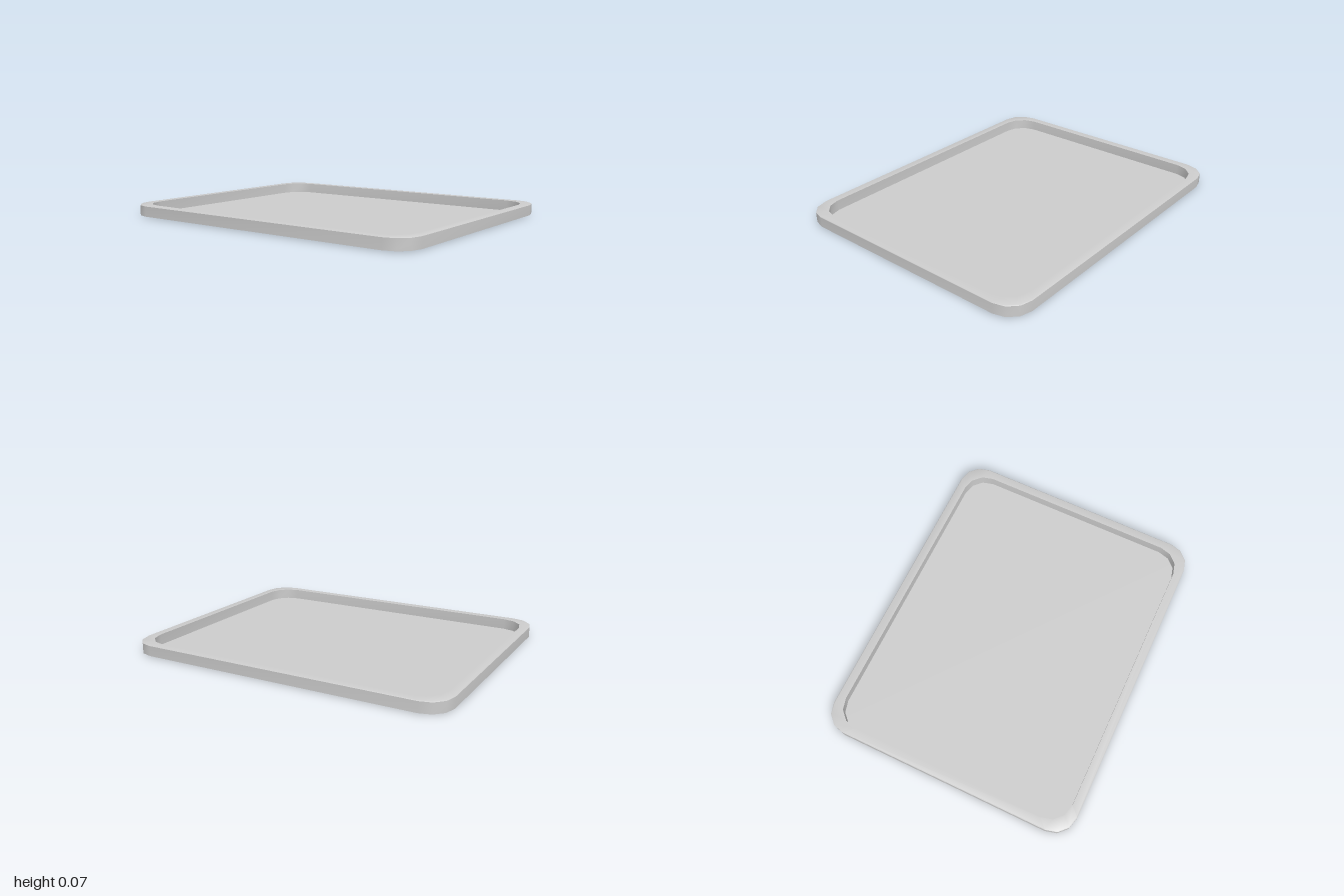
import * as THREE from 'three';
import { toCreasedNormals } from 'three/addons/utils/BufferGeometryUtils.js';

const SEGMENTS = 3; // facets per rounded corner

// Rounded rectangle loop at height y, counter-clockwise from above
function roundedLoop(halfX, halfZ, radius, y) {
  const points = [];
  const corners = [[1, -1], [-1, -1], [-1, 1], [1, 1]];
  corners.forEach(([sx, sz], c) => {
    for (let i = 0; i <= SEGMENTS; i++) {
      const a = (c + i / SEGMENTS) * Math.PI / 2;
      points.push([
        sx * (halfX - radius) + radius * Math.cos(a),
        y,
        sz * (halfZ - radius) - radius * Math.sin(a),
      ]);
    }
  });
  return points;
}

// Skin a series of matching loops with quads
function loft(loops) {
  const positions = [];
  for (let k = 0; k < loops.length - 1; k++) {
    const a = loops[k], b = loops[k + 1], n = a.length;
    for (let i = 0; i < n; i++) {
      const j = (i + 1) % n;
      positions.push(...a[i], ...a[j], ...b[j], ...a[i], ...b[j], ...b[i]);
    }
  }
  const geometry = new THREE.BufferGeometry();
  geometry.setAttribute('position', new THREE.Float32BufferAttribute(positions, 3));
  return toCreasedNormals(geometry, Math.PI / 4.5);
}

export function createModel() {
  const group = new THREE.Group();
  group.name = 'tray';
  const material = new THREE.MeshStandardMaterial({ color: 0xcccccc, side: THREE.DoubleSide });

  // Raised rim, hollow underneath: outer wall, fine bevel, flat top, inner wall
  const rim = new THREE.Mesh(loft([
    roundedLoop(0.8, 1, 0.14, 0.003),
    roundedLoop(0.8, 1, 0.14, 0.066),
    roundedLoop(0.796, 0.996, 0.14, 0.07),
    roundedLoop(0.747, 0.947, 0.14, 0.07),
    roundedLoop(0.747, 0.947, 0.14, 0.003),
  ]), material);
  rim.name = 'rim';
  group.add(rim);

  // Thin square-cornered base panel
  const base = new THREE.Mesh(new THREE.BoxGeometry(1.494, 0.005, 1.894), material);
  base.name = 'basePanel';
  base.position.y = 0.0025;
  group.add(base);

  return group;
}
